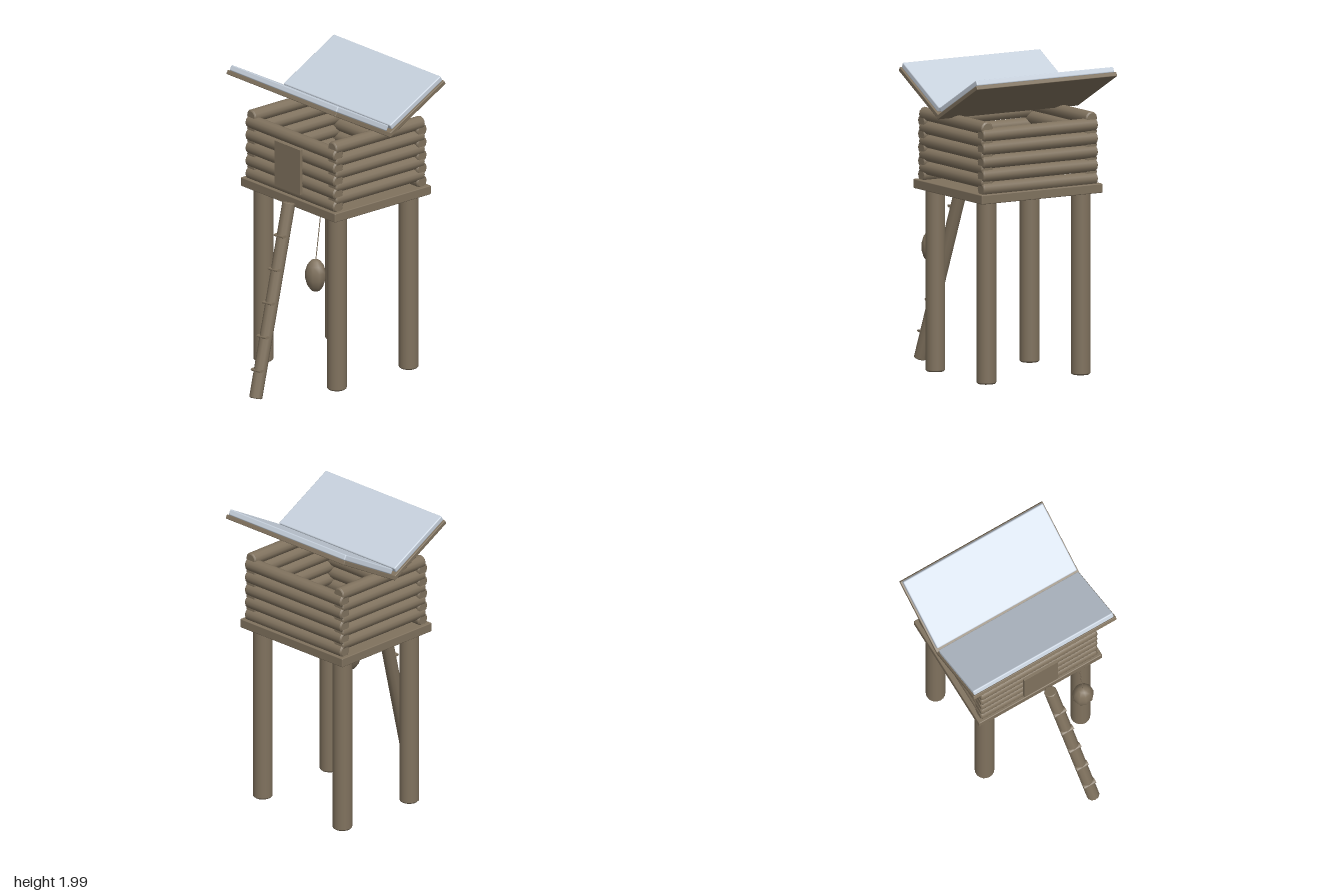
import * as THREE from 'three';
import { RoundedBoxGeometry } from 'three/addons/geometries/RoundedBoxGeometry.js';

const CZ = -0.19; // centre of the hut in z

export function createModel() {
  const group = new THREE.Group();
  const wood = new THREE.MeshStandardMaterial({ color: 0x80725e });
  wood.name = 'wood';
  const sheet = new THREE.MeshStandardMaterial({ color: 0xc6d0dc });
  sheet.name = 'pale roof sheet';

  function add(name, geometry, material, x = 0, y = 0, z = 0, parent = group) {
    const mesh = new THREE.Mesh(geometry, material);
    mesh.name = name;
    mesh.position.set(x, y, z);
    parent.add(mesh);
    return mesh;
  }

  // Round log along y with slightly bevelled ends
  function logGeometry(r, length, sides, bevel = 0.008) {
    const h = length / 2, b = bevel;
    const profile = [
      [0, -h], [r - b * 1.3, -h], [r - b, -h], [r, -h + b], [r, -h + b * 1.3],
      [r, h - b * 1.3], [r, h - b], [r - b, h], [r - b * 1.3, h], [0, h],
    ].map(([x, y]) => new THREE.Vector2(x, y));
    return new THREE.LatheGeometry(profile, sides);
  }

  // Log spanning two points
  function logBetween(name, a, b, r, sides, bevel) {
    const dir = b.clone().sub(a);
    const mid = a.clone().add(b).multiplyScalar(0.5);
    const mesh = add(name, logGeometry(r, dir.length(), sides, bevel), wood, mid.x, mid.y, mid.z);
    mesh.quaternion.setFromUnitVectors(new THREE.Vector3(0, 1, 0), dir.normalize());
    return mesh;
  }

  // Stilts
  for (const sx of [-1, 1]) {
    for (const sz of [-1, 1]) {
      add('stilt', logGeometry(0.063, 1.18, 18), wood, sx * 0.355, 0.61, CZ + sz * 0.302);
    }
  }

  // Platform
  add('platform', new RoundedBoxGeometry(0.91, 0.06, 0.81, 2, 0.006), wood, 0, 1.22, CZ);

  // Stacked log walls, the side logs lying half a step higher
  const step = 0.0865;
  for (let i = 0; i < 5; i++) {
    for (const s of [-1, 1]) {
      const y = 1.28 + i * step;
      const wallLog = add('wallLog', logGeometry(0.043, 0.86, 12), wood, 0, y, CZ + s * 0.352);
      wallLog.rotation.z = Math.PI / 2;
      const sideLog = add('sideLog', logGeometry(0.043, 0.75, 12), wood, s * 0.393, y + step / 2, CZ);
      sideLog.rotation.x = Math.PI / 2;
    }
  }

  // Door board
  add('door', new THREE.BoxGeometry(0.25, 0.3, 0.018), wood, 0, 1.44, 0.211);

  // Two roof panels meeting in a valley
  for (const s of [-1, 1]) {
    const roof = new THREE.Group();
    roof.name = s > 0 ? 'frontRoof' : 'backRoof';
    roof.position.set(0, 1.69, CZ);
    roof.rotation.y = s > 0 ? 0 : Math.PI;
    const tilt = new THREE.Group();
    tilt.name = 'roofSlope';
    tilt.rotation.x = -0.497;
    roof.add(tilt);
    add('roofBoard', new RoundedBoxGeometry(1.055, 0.028, 0.53, 2, 0.004), wood, 0, 0.014, 0.265, tilt);
    add('roofSheet', new RoundedBoxGeometry(1.035, 0.038, 0.487, 2, 0.008), sheet, 0, 0.047, 0.284, tilt);
    group.add(roof);
  }

  // Leaning climbing pole
  const top = new THREE.Vector3(0.05, 1.225, 0.25);
  const foot = new THREE.Vector3(0.148, 0.018, 0.615);
  logBetween('climbingPole', top, foot, 0.042, 10, 0.004);

  // Footholds along its front
  const foothold = new THREE.CylinderGeometry(1, 1, 1, 8);
  foothold.rotateZ(Math.PI / 2);
  foothold.scale(0.086, 0.009, 0.019);
  for (let i = 0; i < 5; i++) {
    const y = 1.026 - i * 0.2075;
    const p = top.clone().lerp(foot, (top.y - y) / (top.y - foot.y));
    const rung = add('foothold', foothold, wood, p.x, y, p.z + 0.028);
    rung.rotation.z = 0.08;
  }

  // Hanging bundle on a cord
  logBetween('cord', new THREE.Vector3(0.295, 1.2, 0.196), new THREE.Vector3(0.297, 0.89, 0.24), 0.003, 6, 0.0005);
  const egg = new THREE.SphereGeometry(1, 9, 7);
  egg.scale(0.071, 0.11, 0.066);
  add('hangingBundle', egg, wood, 0.297, 0.8, 0.241);

  return group;
}
